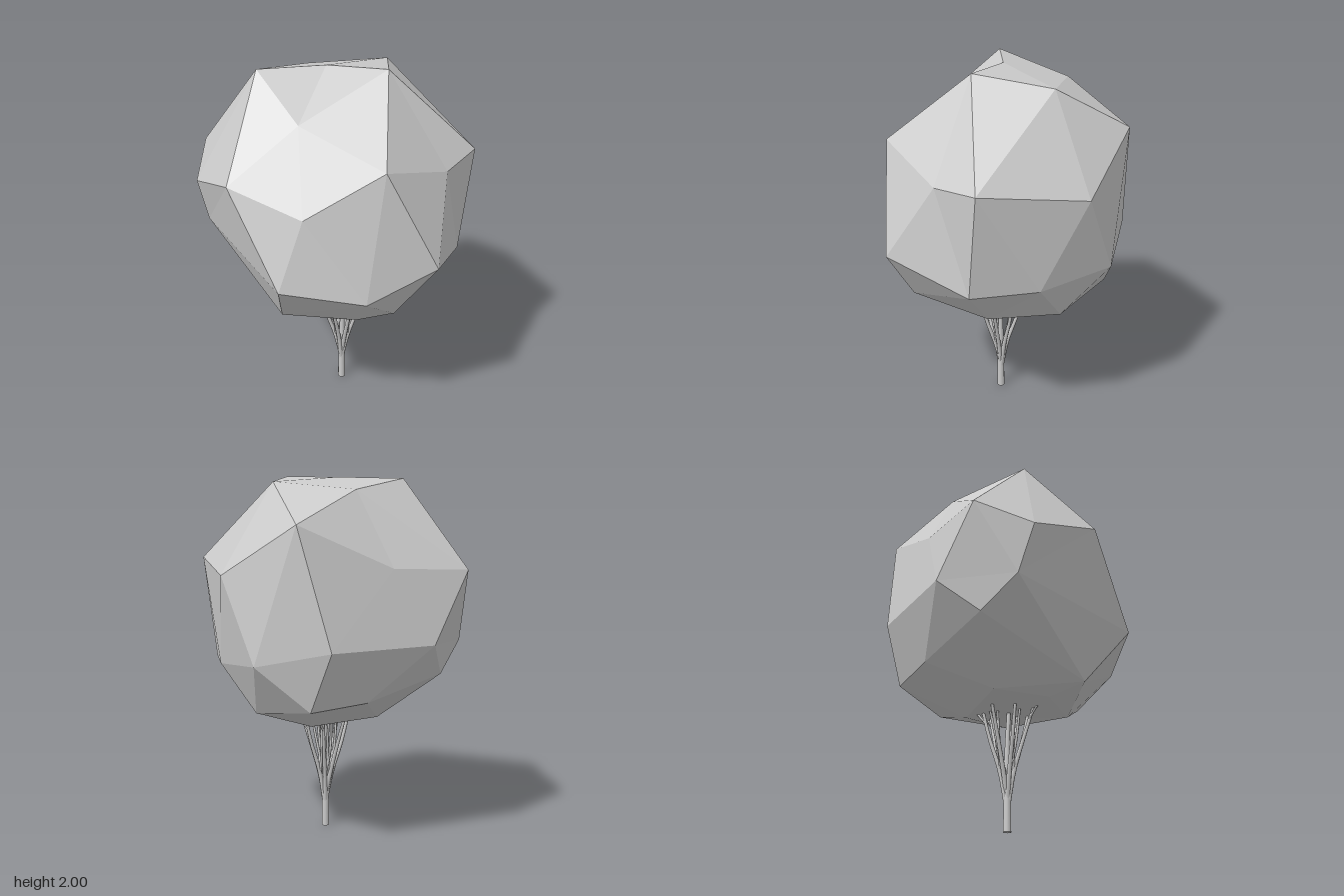
import * as THREE from 'three';
import { ConvexGeometry } from 'three/addons/geometries/ConvexGeometry.js';

// Corner points of the faceted crown, from the top ring downwards
const CROWN = [
  [-0.33, 1.98, -0.275], [-0.05, 1.985, -0.06], [0.07, 2.0, 0.25], [0.38, 1.94, -0.02],
  [0.12, 1.895, -0.37], [-0.37, 1.78, 0.06], [0.54, 1.71, -0.4], [-0.27, 1.645, 0.54],
  [0.45, 1.55, 0.54], [0.17, 1.52, 0.57], [0.08, 1.5, -0.6], [-0.685, 1.5, -0.13],
  [-0.34, 1.49, -0.73], [0.685, 1.465, 0.02], [-0.54, 1.395, 0.25], [-0.57, 1.37, -0.53],
  [-0.1, 1.115, -0.72], [-0.06, 1.11, 0.72], [0.43, 1.1, -0.53], [-0.49, 1.1, -0.56],
  [0.65, 1.02, -0.2], [-0.67, 1.02, 0.2], [0.56, 0.985, 0.22], [0.375, 0.98, 0.53],
  [-0.37, 0.95, 0.52], [-0.29, 0.935, -0.6], [0.16, 0.82, -0.5], [0.445, 0.79, -0.39],
  [-0.14, 0.785, 0.51], [0.49, 0.735, 0], [-0.49, 0.72, 0.02], [0.22, 0.69, 0.28],
  [-0.13, 0.67, -0.285], [-0.2, 0.67, 0.3], [-0.3, 0.665, -0.03], [0.2, 0.635, -0.11],
].map((p) => new THREE.Vector3(...p));

const material = new THREE.MeshStandardMaterial({ color: 0xcccccc, flatShading: true });
const barkMaterial = new THREE.MeshStandardMaterial({ color: 0xcccccc });

// Connects the corners as seen from the crown's middle, so shallow dents survive
function crownGeometry() {
  const centre = new THREE.Vector3(0, 1.3, 0);
  const dirs = CROWN.map((p) => p.clone().sub(centre).normalize());
  const geometry = new ConvexGeometry(dirs);
  const pos = geometry.attributes.position;
  const v = new THREE.Vector3();
  for (let i = 0; i < pos.count; i++) {
    v.fromBufferAttribute(pos, i);
    let best = 0;
    dirs.forEach((d, k) => { if (d.dot(v) > dirs[best].dot(v)) best = k; });
    pos.setXYZ(i, CROWN[best].x, CROWN[best].y, CROWN[best].z);
  }
  geometry.computeVertexNormals();
  return geometry;
}

// Curved round limb tapering from r0 to r1
function limb(name, points, r0, r1) {
  const curve = new THREE.CatmullRomCurve3(points);
  const rings = 8, sides = 8;
  const geometry = new THREE.TubeGeometry(curve, rings, 1, sides);
  const pos = geometry.attributes.position;
  const v = new THREE.Vector3();
  for (let i = 0; i < pos.count; i++) {
    const t = Math.floor(i / (sides + 1)) / rings;
    const c = curve.getPointAt(t);
    v.fromBufferAttribute(pos, i).sub(c).multiplyScalar(r0 + (r1 - r0) * t).add(c);
    pos.setXYZ(i, v.x, v.y, v.z);
  }
  const mesh = new THREE.Mesh(geometry, barkMaterial);
  mesh.name = name;
  return mesh;
}

export function createModel() {
  const tree = new THREE.Group();
  tree.name = 'tree';

  const crown = new THREE.Mesh(crownGeometry(), material);
  crown.name = 'crown';
  tree.add(crown);

  // Trunk with a closed foot, and a central leader
  const trunk = new THREE.Mesh(new THREE.CylinderGeometry(0.019, 0.022, 0.2, 10), barkMaterial);
  trunk.name = 'trunk';
  trunk.position.y = 0.1;
  tree.add(trunk);
  const at = (a, r, y) => new THREE.Vector3(Math.cos(a) * r, y, Math.sin(a) * r);
  tree.add(limb('leader', [at(0, 0, 0.18), at(1, 0.004, 0.42), at(2, 0.012, 0.69)], 0.019, 0.01));

  // Main branches fanning out like a vase, each with a side twig
  const branches = new THREE.Group();
  branches.name = 'branches';
  const count = 7;
  for (let i = 0; i < count; i++) {
    const a = (i / count) * Math.PI * 2 + 0.15;
    const reach = 0.14 + 0.02 * (i % 2);
    const start = 0.14 + 0.03 * (i % 3);
    branches.add(limb('branch', [
      at(a, 0.004, start), at(a, 0.038, 0.32), at(a, 0.095, 0.5), at(a, reach, 0.69),
    ], 0.014, 0.008));
    const b = a + (i % 2 ? 0.6 : -0.6);
    branches.add(limb('twig', [
      at(a, 0.036, 0.315), at(b, 0.055, 0.46), at(b, 0.07 + 0.02 * (i % 3), 0.69),
    ], 0.009, 0.006));
    if (i % 3 === 0) {
      branches.add(limb('twig', [at(a, 0.12, 0.59), at(a + 0.1, 0.16, 0.64), at(a + 0.15, 0.2, 0.68)], 0.007, 0.005));
    }
  }
  tree.add(branches);
  return tree;
}
